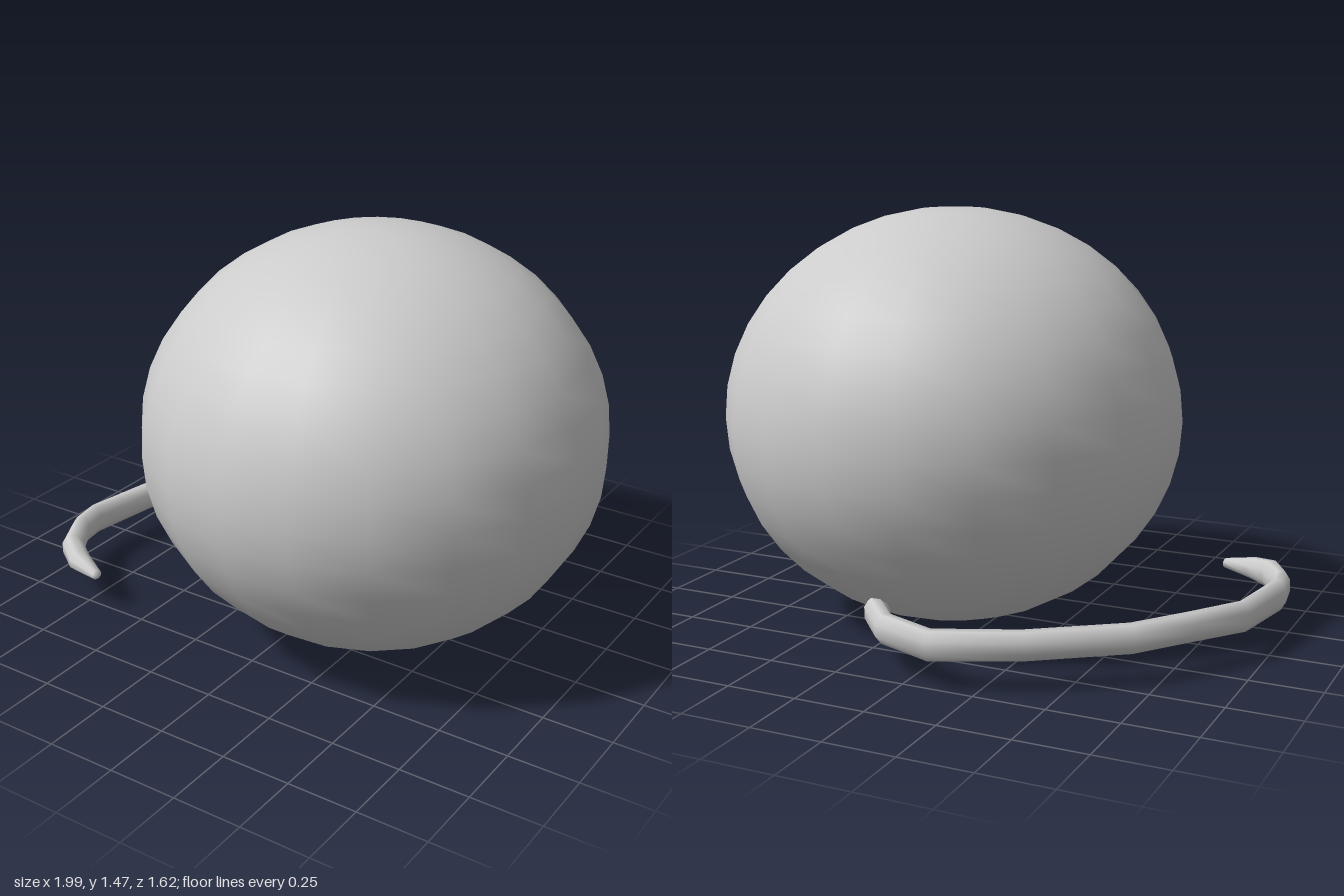
import * as THREE from 'three';

const material = new THREE.MeshStandardMaterial({ color: 0xcccccc });

// Lofts an elliptical tube through rows of [x, y, z, halfWidth, halfHeight], capped at both ends.
function loft(rows, sides) {
  const positions = [], index = [];
  rows.forEach(([x, y, z, hw, hh], i) => {
    const a = rows[Math.max(i - 1, 0)], b = rows[Math.min(i + 1, rows.length - 1)];
    const dir = new THREE.Vector2(b[0] - a[0], b[2] - a[2]).normalize();
    for (let s = 0; s < sides; s++) {
      const t = (s + 0.5) / sides * Math.PI * 2;
      const side = Math.cos(t) * hw;
      positions.push(x - dir.y * side, y + Math.sin(t) * hh, z + dir.x * side);
    }
  });
  for (let i = 0; i < rows.length - 1; i++) {
    for (let s = 0; s < sides; s++) {
      const a = i * sides + s, b = i * sides + (s + 1) % sides;
      index.push(a, b, a + sides, b, b + sides, a + sides);
    }
  }
  // End caps
  const last = (rows.length - 1) * sides;
  for (let s = 1; s < sides - 1; s++) {
    index.push(0, s + 1, s, last, last + s, last + s + 1);
  }
  const geometry = new THREE.BufferGeometry();
  geometry.setAttribute('position', new THREE.Float32BufferAttribute(positions, 3));
  geometry.setIndex(index);
  geometry.computeVertexNormals();
  return geometry;
}

export function createModel() {
  const group = new THREE.Group();

  // Round body, slightly squashed in height
  const body = new THREE.Mesh(new THREE.SphereGeometry(1, 20, 20), material);
  body.name = 'body';
  body.scale.set(0.815, 0.735, 0.815);
  body.position.set(0.18, 0.745, 0);
  body.rotation.y = -THREE.MathUtils.degToRad(5);
  group.add(body);

  // Tail: leaves the underside at the back and sweeps round the right side to a blunt tip
  const tail = new THREE.Mesh(loft([
    [0.26, 0.18, -0.28, 0.035, 0.045],
    [0.25, 0.165, -0.42, 0.04, 0.05],
    [0.21, 0.16, -0.55, 0.04, 0.052],
    [0.10, 0.16, -0.68, 0.04, 0.054],
    [-0.10, 0.16, -0.755, 0.04, 0.054],
    [-0.37, 0.16, -0.635, 0.04, 0.052],
    [-0.665, 0.165, -0.44, 0.038, 0.052],
    [-0.80, 0.165, -0.26, 0.037, 0.052],
    [-0.925, 0.16, -0.07, 0.035, 0.055],
    [-0.97, 0.16, 0.20, 0.034, 0.058],
    [-0.953, 0.16, 0.305, 0.035, 0.057],
    [-0.885, 0.16, 0.425, 0.042, 0.052],
    [-0.80, 0.155, 0.485, 0.042, 0.04],
    [-0.685, 0.148, 0.522, 0.02, 0.018],
  ], 8), material);
  tail.name = 'tail';
  tail.material = material.clone();
  tail.material.side = THREE.DoubleSide;
  group.add(tail);

  return group;
}
